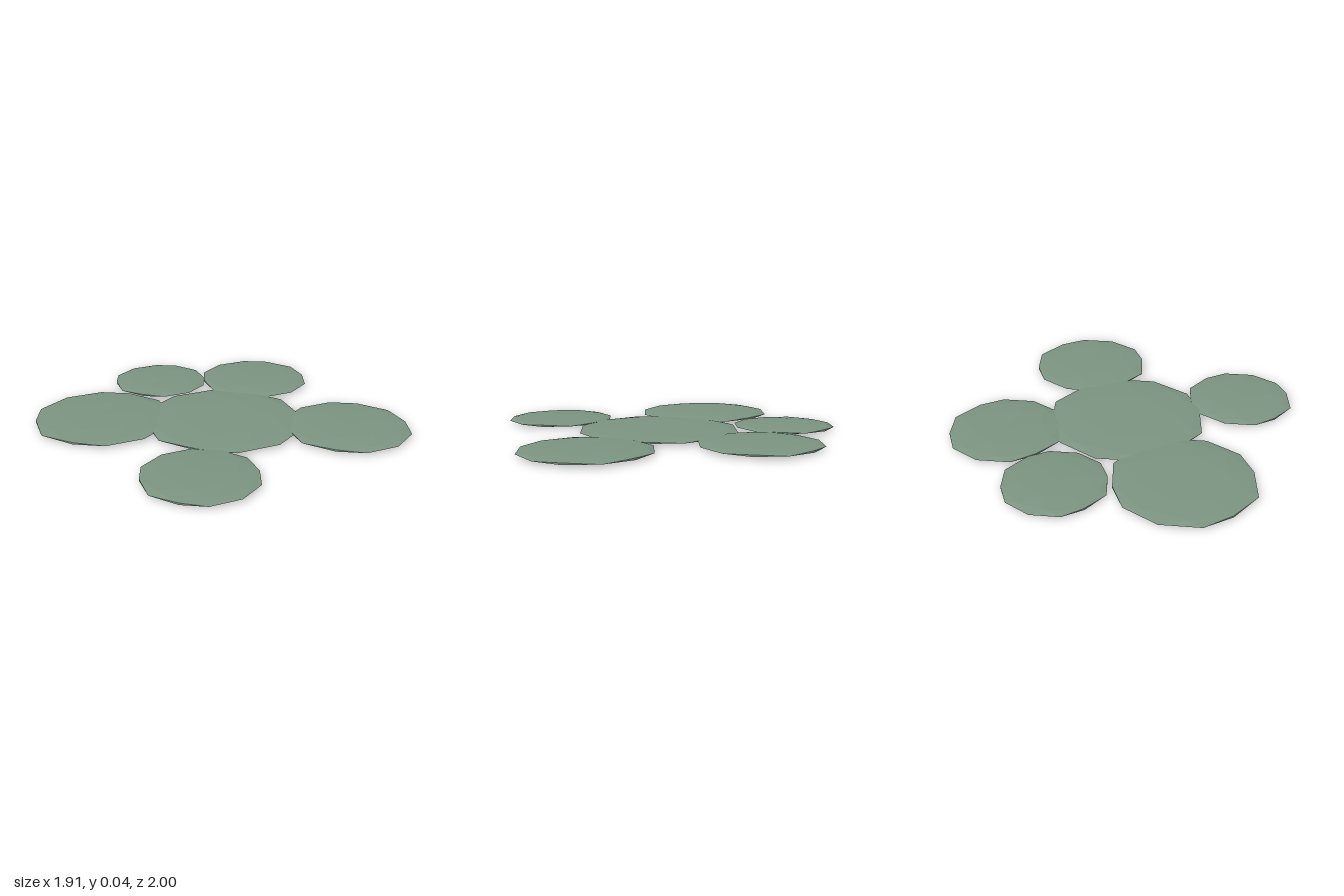
import * as THREE from 'three';

const HALF_THICKNESS = 0.0175;

// name, centre x, centre z, radius
const PADS = [
  ['centrePad', -0.01, 0.075, 0.48],
  ['backRightPad', -0.54, -0.41, 0.415],
  ['backPad', 0.10, -0.695, 0.305],
  ['backLeftPad', 0.60, -0.32, 0.352],
  ['frontRightPad', -0.585, 0.557, 0.328],
  ['frontLeftPad', 0.47, 0.623, 0.372],
];

export function createModel() {
  const group = new THREE.Group();
  group.name = 'padCluster';
  const material = new THREE.MeshStandardMaterial({ color: 0x7d9582, flatShading: true });

  // each pad is a faceted ball pressed almost flat
  for (const [name, x, z, radius] of PADS) {
    const geometry = new THREE.IcosahedronGeometry(1, 1);
    geometry.rotateX(-Math.PI / 2);
    geometry.scale(radius, HALF_THICKNESS, radius);
    geometry.computeVertexNormals();
    const pad = new THREE.Mesh(geometry, material);
    pad.name = name;
    pad.position.set(x, HALF_THICKNESS, z);
    group.add(pad);
  }
  return group;
}
